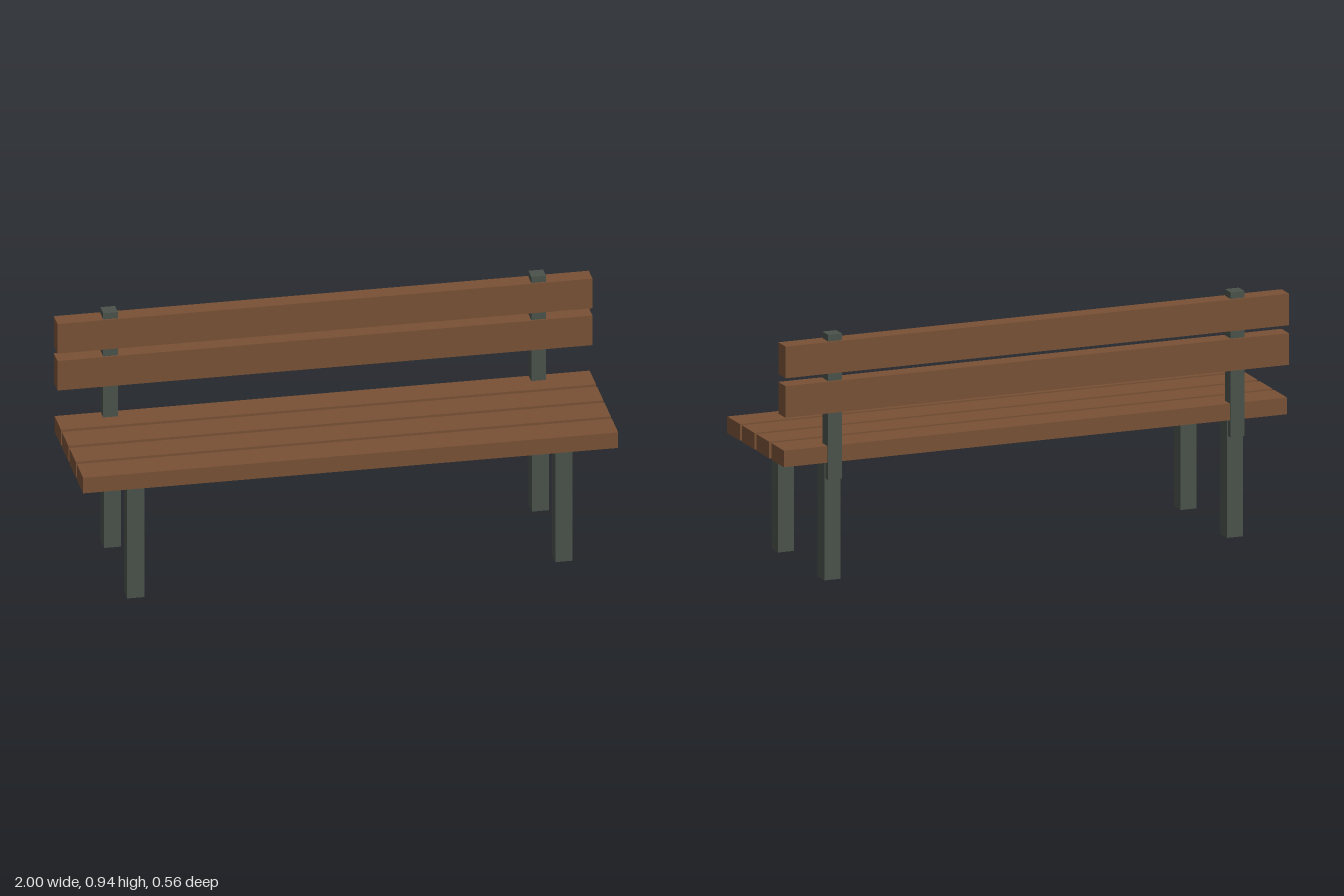
import * as THREE from 'three';

export function createModel() {
  const bench = new THREE.Group();
  bench.name = 'bench';

  const wood = new THREE.MeshStandardMaterial({ color: 0x785135 });
  wood.name = 'brown wood';
  const iron = new THREE.MeshStandardMaterial({ color: 0x49524a });
  iron.name = 'dark green metal';

  // Box given by its centre x, width and its y and z extents
  function addBox(name, material, x, width, [y0, y1], [z0, z1]) {
    const mesh = new THREE.Mesh(new THREE.BoxGeometry(width, y1 - y0, z1 - z0), material);
    mesh.position.set(x, (y0 + y1) / 2, (z0 + z1) / 2);
    mesh.name = name;
    bench.add(mesh);
  }

  // Four seat slats, front to back
  for (let i = 0; i < 4; i++) {
    const z = 0.218 - i * 0.1397;
    addBox('seatSlat' + (i + 1), wood, 0, 2, [0.45, 0.513], [z - 0.06, z + 0.06]);
  }

  // Two backrest slats
  addBox('lowerBackSlat', wood, 0, 2, [0.641, 0.761], [-0.277, -0.208]);
  addBox('upperBackSlat', wood, 0, 2, [0.791, 0.911], [-0.277, -0.208]);

  // Legs and backrest posts on both sides
  for (const [side, x] of [['left', 0.8], ['right', -0.8]]) {
    addBox(side + 'FrontLeg', iron, x, 0.064, [0, 0.45], [0.197, 0.261]);
    addBox(side + 'BackLeg', iron, x, 0.064, [0, 0.45], [-0.243, -0.179]);
    addBox(side + 'BackPost', iron, x, 0.055, [0.386, 0.936], [-0.268, -0.214]);
  }

  return bench;
}
